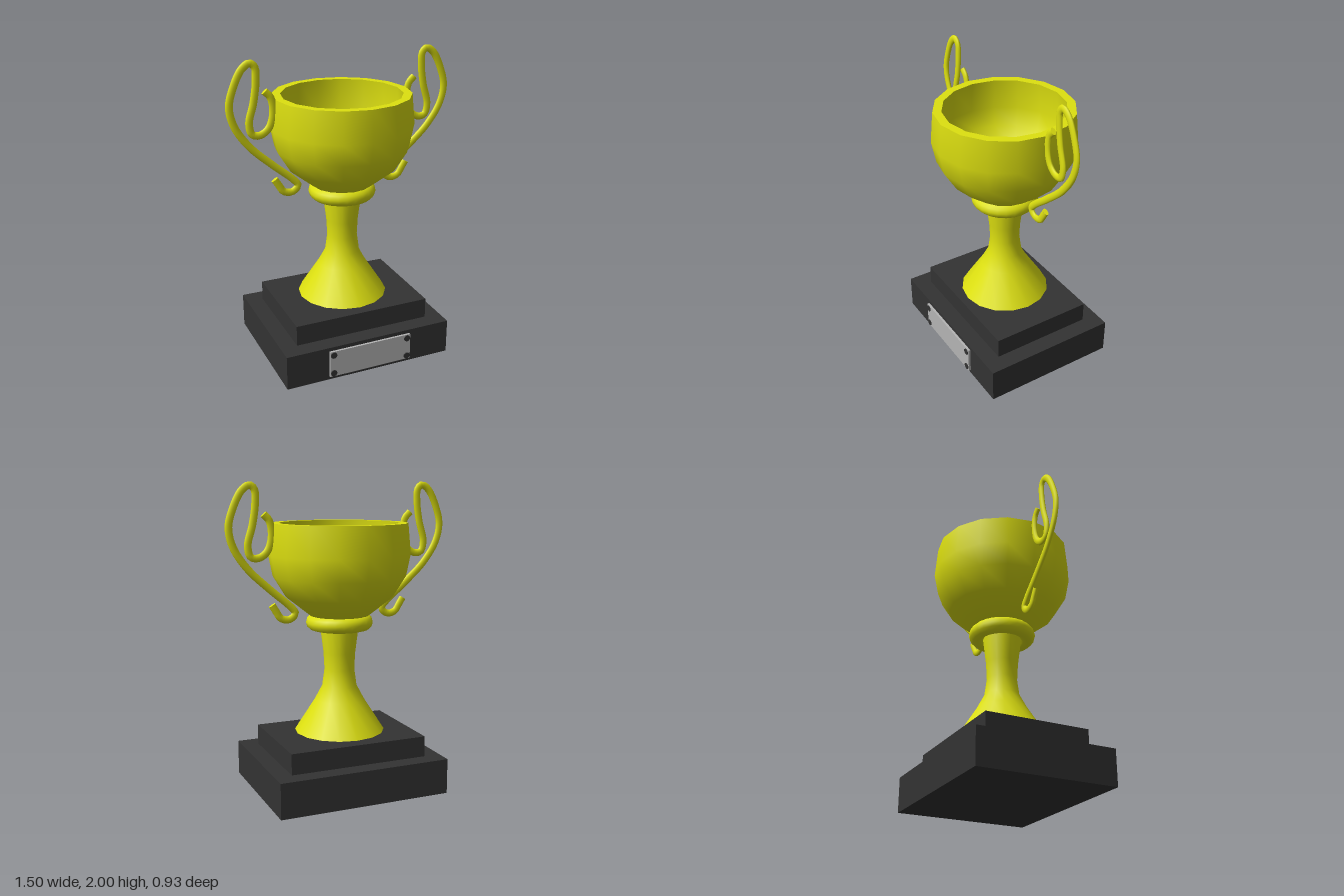
import * as THREE from 'three';
import { toCreasedNormals } from 'three/addons/utils/BufferGeometryUtils.js';

const gold = new THREE.MeshStandardMaterial({ color: 0xdde010 });
const black = new THREE.MeshStandardMaterial({ color: 0x333333 });
const grey = new THREE.MeshStandardMaterial({ color: 0xb4b4b4 });
const CENTRE_Z = -0.01;

export function createModel() {
  const group = new THREE.Group();

  const add = (name, geometry, material, x, y, z) => {
    const mesh = new THREE.Mesh(geometry, material);
    mesh.name = name;
    mesh.position.set(x, y, z);
    group.add(mesh);
    return mesh;
  };
  const lathe = (points, sides) => toCreasedNormals(
    new THREE.LatheGeometry(points.map(([r, y]) => new THREE.Vector2(r, y)), sides), 0.8);

  // Two-step plinth
  add('plinthLower', new THREE.BoxGeometry(1.14, 0.23, 0.9), black, 0, 0.115, CENTRE_Z);
  add('plinthUpper', new THREE.BoxGeometry(0.92, 0.135, 0.68), black, 0, 0.2975, CENTRE_Z);

  // Blank plaque with four screws
  add('plaque', new THREE.BoxGeometry(0.57, 0.18, 0.016), grey, 0, 0.115, 0.447);
  for (const x of [-0.26, 0.26]) {
    for (const y of [0.05, 0.18]) {
      const screw = new THREE.CylinderGeometry(0.021, 0.021, 0.008, 16).rotateX(Math.PI / 2);
      add('plaqueScrew', screw, black, x, y, 0.457);
    }
  }

  // Flared stem
  add('stem', lathe([
    [0, 0.38], [0.295, 0.38], [0.162, 0.587], [0.113, 0.68],
    [0.098, 0.79], [0.104, 0.9], [0.124, 1.06], [0.124, 1.1],
  ], 16), gold, 0, 0, CENTRE_Z);

  // Collar below the bowl
  add('collar', new THREE.TorusGeometry(0.166, 0.052, 12, 24).rotateX(Math.PI / 2),
    gold, 0, 1.102, CENTRE_Z);

  // Hollow bowl: outer wall, rim, inner wall
  add('bowl', lathe([
    [0, 1.12], [0.17, 1.13], [0.21, 1.16], [0.35, 1.27], [0.43, 1.4], [0.458, 1.54], [0.44, 1.74],
    [0.385, 1.74], [0.405, 1.54], [0.375, 1.42], [0.3, 1.31], [0.17, 1.22], [0, 1.2],
  ], 16), gold, 0, 0, CENTRE_Z);

  // Scrolled handles, from the inner curl over the top to the lower hook
  const path = [
    [0.505, 1.8], [0.468, 1.76], [0.455, 1.66], [0.485, 1.57], [0.54, 1.532], [0.59, 1.54],
    [0.608, 1.61], [0.575, 1.74], [0.556, 1.87], [0.56, 1.95], [0.59, 1.976], [0.64, 1.945],
    [0.7, 1.83], [0.727, 1.72], [0.7, 1.6], [0.61, 1.465], [0.466, 1.33], [0.335, 1.218],
    [0.303, 1.175], [0.342, 1.137], [0.4, 1.147], [0.43, 1.19], [0.458, 1.235],
  ];
  for (const [side, name] of [[1, 'leftHandle'], [-1, 'rightHandle']]) {
    const handle = new THREE.Group();
    handle.name = name;
    handle.position.z = CENTRE_Z;
    handle.scale.z = 0.6; // oval section, thinner front to back
    const curve = new THREE.CatmullRomCurve3(
      path.map(([x, y]) => new THREE.Vector3(side * x, y, 0)));
    const tube = new THREE.Mesh(new THREE.TubeGeometry(curve, 110, 0.024, 10), gold);
    tube.name = 'handleTube';
    handle.add(tube);
    // Flat end caps
    for (const t of [0, 1]) {
      const cap = new THREE.Mesh(new THREE.CircleGeometry(0.024, 10), gold);
      cap.name = 'handleEnd';
      cap.position.copy(curve.getPointAt(t));
      const outward = curve.getTangentAt(t).multiplyScalar(t ? 1 : -1);
      cap.quaternion.setFromUnitVectors(new THREE.Vector3(0, 0, 1), outward);
      handle.add(cap);
    }
    group.add(handle);
  }

  return group;
}
